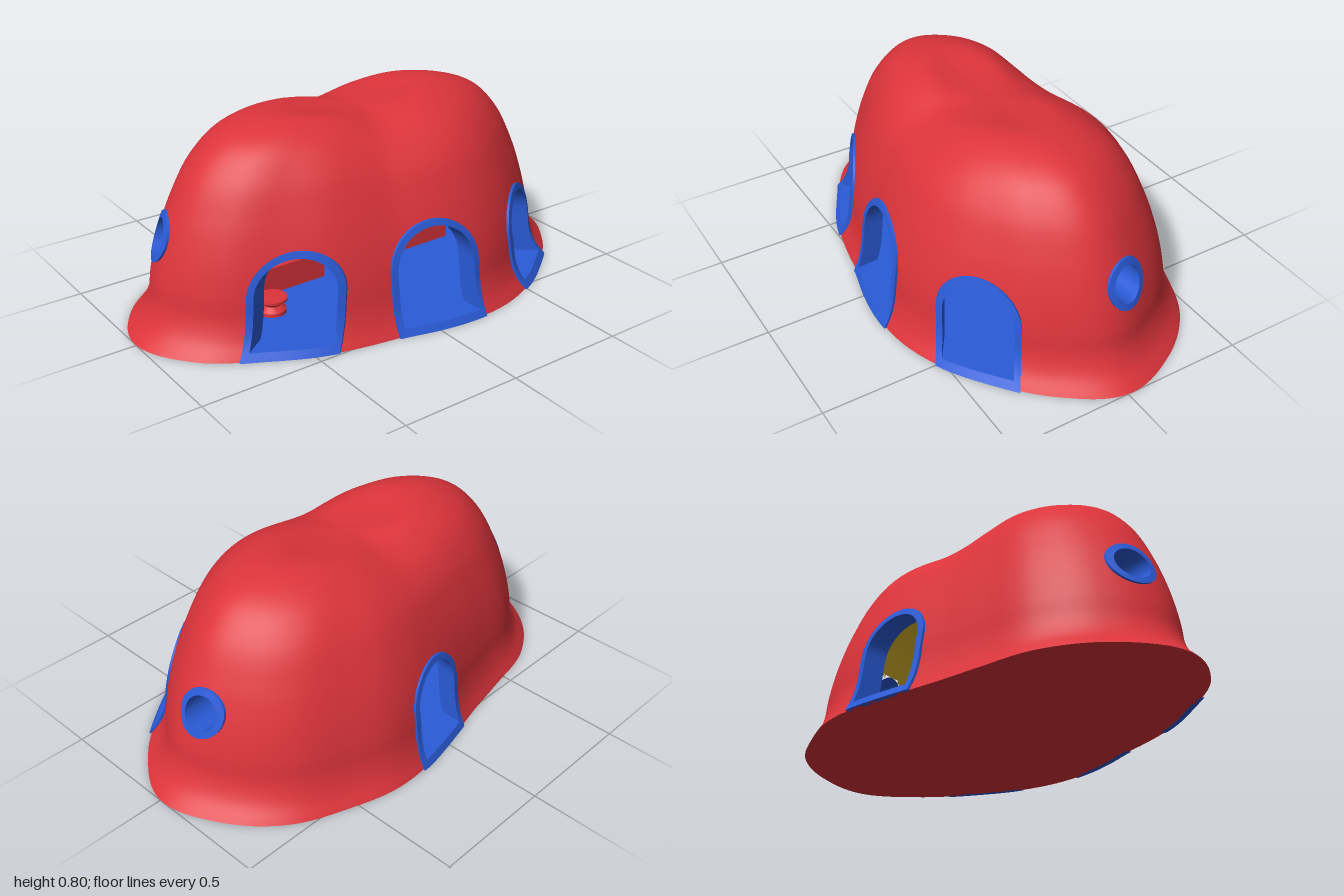
import * as THREE from 'three';
import { toCreasedNormals } from 'three/addons/utils/BufferGeometryUtils.js';

const RED = new THREE.MeshStandardMaterial({ color: 0xdc343b });
const BLUE = new THREE.MeshStandardMaterial({ color: 0x2a5bd7 });
const YELLOW = new THREE.MeshStandardMaterial({ color: 0xd9b32a });

// Footprint: radius every 15 degrees, from +x towards +z
const RADII = [1, 0.905, 0.8, 0.73, 0.67, 0.615, 0.575, 0.56, 0.595, 0.665, 0.76, 0.91,
  1, 0.935, 0.81, 0.66, 0.58, 0.555, 0.57, 0.62, 0.69, 0.765, 0.875, 0.955];

function footRadius(angle) {
  const u = (angle / (Math.PI * 2) + 2) * 24, i = Math.floor(u), f = u - i;
  const [a, b, c, d] = [-1, 0, 1, 2].map((k) => RADII[(i + k) % 24]);
  return b + 0.5 * f * (c - a + f * (2 * a - 5 * b + 4 * c - d + f * (3 * (b - c) + d - a)));
}

// Wall profiles (share of footprint radius, height) towards the ends and the long sides
const ROWS = 72, COLS = 320;
const sample = (pts) => new THREE.CatmullRomCurve3(pts.map(([s, y]) => new THREE.Vector3(s, y, 0))).getPoints(ROWS);
const END = sample([[1, 0], [0.94, 0.06], [0.905, 0.13], [0.89, 0.22], [0.868, 0.31], [0.838, 0.4], [0.8, 0.49],
  [0.72, 0.63], [0.6, 0.74], [0.4, 0.797], [0.2, 0.775], [0.08, 0.763], [0, 0.76]]);
const SIDE = sample([[1, 0], [0.955, 0.06], [0.925, 0.13], [0.905, 0.22], [0.875, 0.31], [0.83, 0.4], [0.77, 0.49],
  [0.67, 0.6], [0.53, 0.68], [0.32, 0.74], [0.15, 0.757], [0.06, 0.76], [0, 0.76]]);

function profile(row, angle) {
  return SIDE[row].clone().lerp(END[row], Math.cos(angle) ** 2);
}

// Radius of the wall at a height
function wallRadius(y, angle) {
  let row = 0;
  while (row < ROWS - 1 && profile(row + 1, angle).y < y) row++;
  const a = profile(row, angle), b = profile(row + 1, angle);
  return footRadius(angle) * THREE.MathUtils.lerp(a.x, b.x, (y - a.y) / (b.y - a.y));
}

// Outer and inner shells: scale in plan and in height
const OUTER = { plan: 1, rise: 1 }, INNER = { plan: 0.88, rise: 0.92 };

// Openings: direction in degrees, half width, centre of the arch or circle
const OPENINGS = [
  { name: 'rightFrontDoor', deg: 144.4, half: 0.137, mid: 0.228, door: true },
  { name: 'middleFrontDoor', deg: 87.3, half: 0.165, mid: 0.235, door: true },
  { name: 'leftFrontDoor', deg: 34, half: 0.137, mid: 0.228, door: true },
  { name: 'backDoor', deg: -87.5, half: 0.13, mid: 0.24, door: true },
  { name: 'leftWindow', deg: -5.8, half: 0.068, mid: 0.377 },
  { name: 'rightWindow', deg: 185.8, half: 0.068, mid: 0.377 },
];
for (const o of OPENINGS) {
  const t = THREE.MathUtils.degToRad(o.deg);
  o.out = new THREE.Vector3(Math.cos(t), 0, Math.sin(t));
  o.across = new THREE.Vector3(o.out.z, 0, -o.out.x);
}

function inOpening(p, o, extra) {
  if (p.dot(o.out) < 0) return false;
  const a = p.dot(o.across), r = o.half + extra;
  return Math.hypot(a, p.y - o.mid) < r || (!!o.door && p.y < o.mid && Math.abs(a) < r);
}

// Shell of rings, leaving out the openings
function shellGeometry({ plan, rise }, inward) {
  const pts = [], index = [];
  for (let i = 0; i <= ROWS; i++) {
    for (let j = 0; j < COLS; j++) {
      const t = (j / COLS) * Math.PI * 2, q = profile(i, t), r = q.x * footRadius(t) * plan;
      pts.push(new THREE.Vector3(r * Math.cos(t), q.y * rise, r * Math.sin(t)));
    }
  }
  const centre = new THREE.Vector3();
  const addFace = (a, b, c) => {
    centre.copy(pts[a]).add(pts[b]).add(pts[c]).divideScalar(3);
    if (OPENINGS.some((o) => inOpening(centre, o, 0.012))) return;
    if (inward) index.push(a, c, b);
    else index.push(a, b, c);
  };
  for (let i = 0; i < ROWS; i++) {
    for (let j = 0; j < COLS; j++) {
      const a = i * COLS + j, c = i * COLS + ((j + 1) % COLS);
      addFace(a, a + COLS, c);
      if (i < ROWS - 1) addFace(c, a + COLS, c + COLS);
    }
  }
  const g = new THREE.BufferGeometry().setFromPoints(pts);
  g.setIndex(index);
  g.computeVertexNormals();
  return g;
}

// Point where a line through the opening meets a shell, moved outwards by lift
function onShell(o, [a, y], shell, lift) {
  const p = new THREE.Vector3();
  const at = (d) => p.copy(o.across).multiplyScalar(a).addScaledVector(o.out, d);
  let lo = 0.1, hi = 1.3;
  for (let n = 0; n < 24; n++) {
    const d = (lo + hi) / 2;
    at(d);
    if (p.length() < shell.plan * wallRadius(y / shell.rise, Math.atan2(p.z, p.x))) lo = d;
    else hi = d;
  }
  at(lo + lift);
  p.y = y;
  return p;
}

// Outline of an opening, counter-clockwise from outside
function outline(o, extra) {
  const r = o.half + extra, pts = [], n = 12;
  const arc = o.door ? Math.PI : Math.PI * 2;
  if (o.door) {
    const sill = 0.03 - extra * 1.2;
    for (let k = 0; k < n; k++) pts.push([r * (2 * k / n - 1), sill]);
    for (let k = 0; k < n; k++) pts.push([r, sill + (o.mid - sill) * k / n]);
    for (let k = 0; k < n; k++) pts.push([-r, o.mid + (sill - o.mid) * k / n]);
  }
  const curve = [];
  for (let k = 0; k < 32; k++) curve.push([r * Math.cos(arc * k / 32), o.mid + r * Math.sin(arc * k / 32)]);
  pts.splice(o.door ? 2 * n : 0, 0, ...curve);
  return pts;
}

// Raised frame with a lining that runs through the wall
function frameGeometry(o) {
  const rim = outline(o, 0.025), edge = outline(o, 0), n = rim.length, index = [];
  const pts = [
    ...rim.map((q) => onShell(o, q, OUTER, -0.015)),
    ...rim.map((q) => onShell(o, q, OUTER, 0.01)),
    ...edge.map((q) => onShell(o, q, OUTER, 0.01)),
    ...edge.map((q) => onShell(o, q, INNER, -0.012)),
  ];
  for (let s = 0; s < 3; s++) {
    for (let k = 0; k < n; k++) {
      const a = s * n + k, b = s * n + (k + 1) % n;
      index.push(a, b, b + n, a, b + n, a + n);
    }
  }
  const g = new THREE.BufferGeometry().setFromPoints(pts);
  g.setIndex(index);
  return toCreasedNormals(g, 0.6);
}

// Flat plate in the shape of the footprint
function plateGeometry(scale, up) {
  const pts = [];
  for (let j = 0; j < 160; j++) {
    const t = (j / 160) * Math.PI * 2, r = footRadius(t) * scale;
    pts.push(new THREE.Vector2(r * Math.cos(t), r * Math.sin(t)));
  }
  return new THREE.ShapeGeometry(new THREE.Shape(pts)).rotateX(up ? -Math.PI / 2 : Math.PI / 2).scale(1, 1, up ? -1 : 1);
}

export function createModel() {
  const group = new THREE.Group();
  const add = (name, geometry, material, x = 0, y = 0, z = 0) => {
    const mesh = new THREE.Mesh(geometry, material);
    mesh.name = name;
    mesh.position.set(x, y, z);
    group.add(mesh);
  };

  add('outerShell', shellGeometry(OUTER, false), RED);
  add('innerWall', shellGeometry(INNER, true), YELLOW);
  add('base', plateGeometry(1, false), RED);

  // The floor is mirrored in z, so both sides are drawn
  const floorMaterial = BLUE.clone();
  floorMaterial.side = THREE.DoubleSide;
  add('floor', plateGeometry(0.87, true), floorMaterial, 0, 0.028);

  for (const o of OPENINGS) add(o.name + 'Frame', frameGeometry(o), BLUE);

  // Furniture inside: a bench and a waisted stool at each end
  const stool = new THREE.LatheGeometry(
    [[0, 0], [0.055, 0], [0.055, 0.015], [0.035, 0.035], [0.06, 0.055], [0.06, 0.065], [0, 0.065]]
      .map(([r, y]) => new THREE.Vector2(r, y)), 24);
  for (const [side, bench, seat] of [['right', -0.3, -0.47], ['left', 0.35, 0.55]]) {
    add(side + 'Bench', new THREE.BoxGeometry(0.32, 0.11, 0.16), RED, bench, 0.085, -0.08);
    add(side + 'Stool', toCreasedNormals(stool, 0.5), RED, seat, 0.028, 0.12);
  }
  return group;
}
